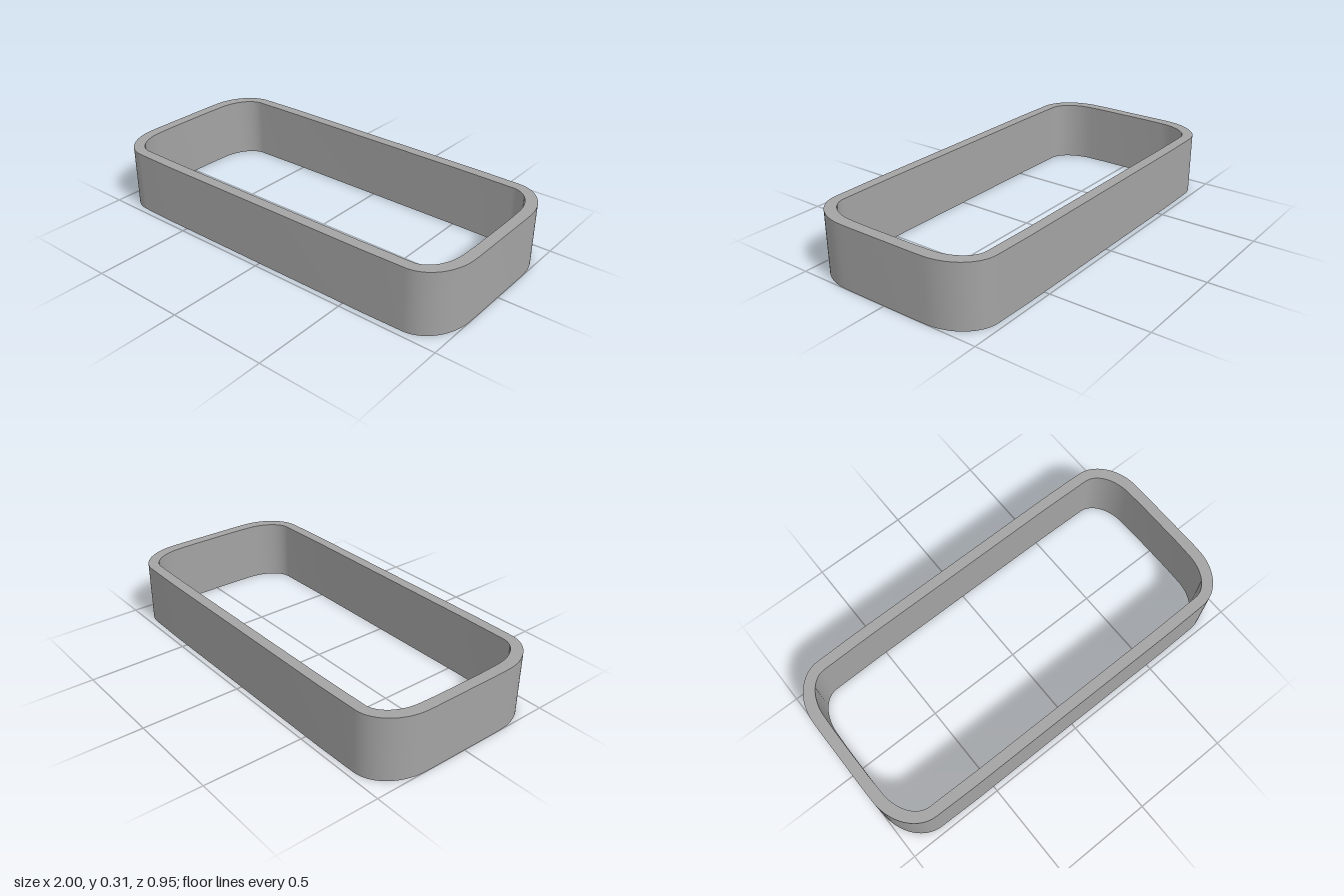
import * as THREE from 'three';
import { toCreasedNormals } from 'three/addons/utils/BufferGeometryUtils.js';

const HEIGHT = 0.315;

// Closed outline from one corner: short side -> elliptical corner -> long side, mirrored four ways
function outline(sideStart, cornerStart, cornerEnd, longEnd) {
  const [ax, ay] = cornerStart, [bx, by] = cornerEnd, k = 0.55;
  const corner = new THREE.CubicBezierCurve(
    new THREE.Vector2(ax, ay),
    new THREE.Vector2(ax, ay + (by - ay) * k),
    new THREE.Vector2(bx + (ax - bx) * k, by),
    new THREE.Vector2(bx, by)
  ).getPoints(20);
  const quarter = [new THREE.Vector2(...sideStart), ...corner, new THREE.Vector2(...longEnd)];
  const mirror = (sx, sy) => {
    const pts = quarter.map((p) => new THREE.Vector2(p.x * sx, p.y * sy));
    return sx * sy < 0 ? pts.reverse() : pts;
  };
  return [...mirror(1, 1), ...mirror(-1, 1), ...mirror(-1, -1), ...mirror(1, -1)];
}

export function createModel() {
  const group = new THREE.Group();
  group.name = 'roundedFrame';

  // Thin wall with a very slight bow along its sides
  const shape = new THREE.Shape(outline([1, 0.2], [0.999, 0.23], [0.81, 0.469], [0.6, 0.473]));
  shape.holes.push(new THREE.Path(outline([0.945, 0.13], [0.942, 0.22], [0.81, 0.415], [0.54, 0.419])));

  const extruded = new THREE.ExtrudeGeometry(shape, { depth: HEIGHT, bevelEnabled: false });
  extruded.rotateX(-Math.PI / 2);
  const wall = new THREE.Mesh(
    toCreasedNormals(extruded, Math.PI / 6),
    new THREE.MeshStandardMaterial({ color: 0xa3a3a3 })
  );
  wall.name = 'frameWall';
  group.add(wall);
  return group;
}
